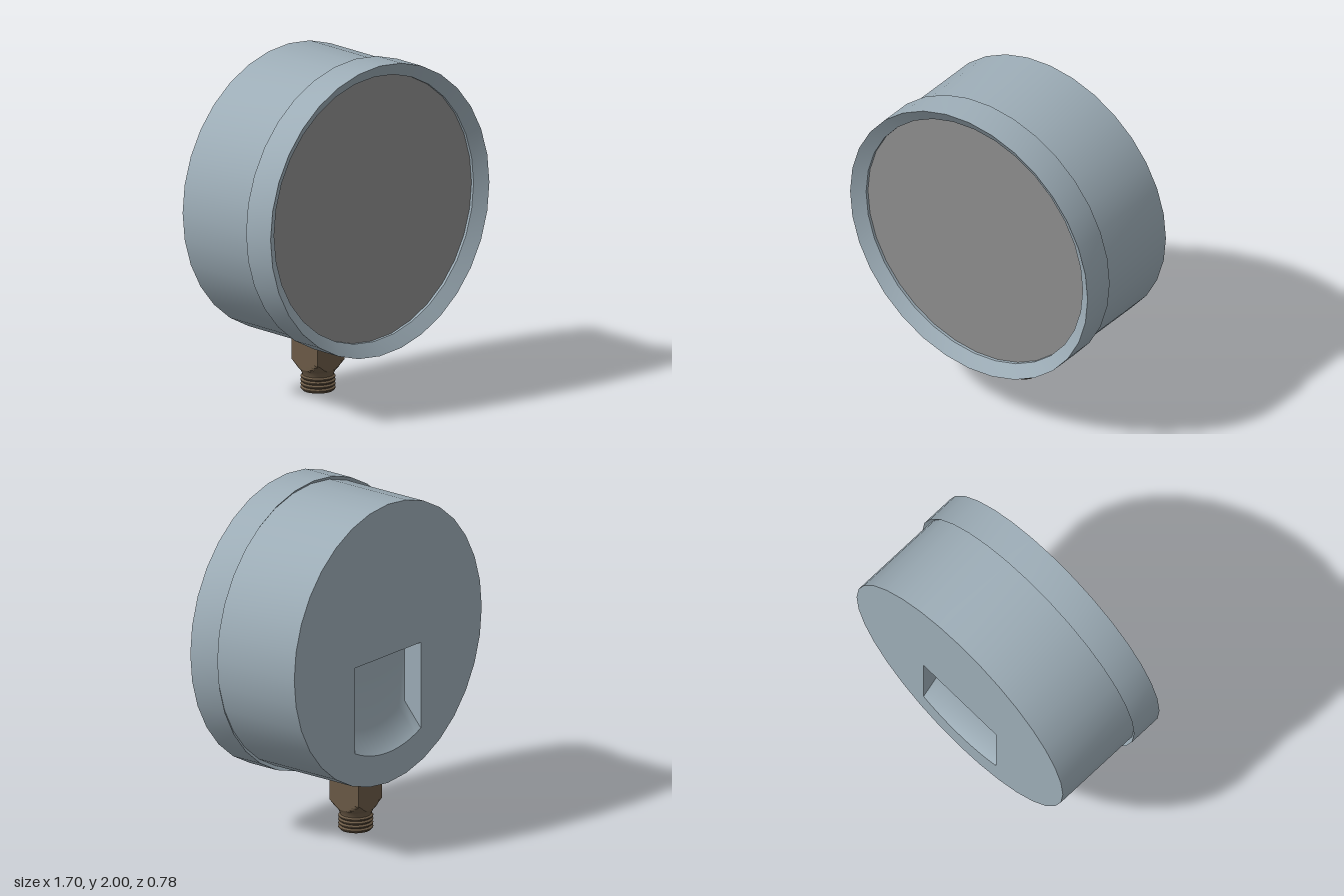
import * as THREE from 'three';
import { toCreasedNormals } from 'three/addons/utils/BufferGeometryUtils.js';

const CY = 1.15;      // height of the case axis
const R = 0.828;      // case radius
const SEG = 32;
const BACK = -0.39, FLOOR = -0.27;

const mat = (name, color, side = THREE.FrontSide) => {
  const m = new THREE.MeshStandardMaterial({ color, side });
  m.name = name;
  return m;
};

const lathe = (pts, seg = SEG) =>
  new THREE.LatheGeometry(pts.map(([r, y]) => new THREE.Vector2(r, y)), seg);

// Turned part whose axis runs along z through the case centre
const turnedZ = (pts) => toCreasedNormals(lathe(pts).rotateX(Math.PI / 2), 0.5).translate(0, CY, 0);

// Surface lofted through rows of equal length
function loft(rows) {
  const n = rows[0].length, idx = [];
  for (let j = 0; j < rows.length - 1; j++)
    for (let i = 0; i < n - 1; i++) {
      const a = j * n + i, b = a + n;
      idx.push(a, b, a + 1, a + 1, b, b + 1);
    }
  const g = new THREE.BufferGeometry();
  g.setAttribute('position', new THREE.Float32BufferAttribute(rows.flat(2), 3));
  g.setIndex(idx);
  g.computeVertexNormals();
  return g;
}

export function createModel() {
  const steel = mat('blue grey steel', 0x9dadb7, THREE.DoubleSide);
  const grey = mat('grey glass', 0x8e8e8e);
  const brass = mat('dark brass', 0x6b5a46);

  const group = new THREE.Group();
  group.name = 'pressureGauge';
  const add = (name, geo, material, parent = group) => {
    const m = new THREE.Mesh(geo, material);
    m.name = name;
    parent.add(m);
    return m;
  };

  // Case wall and front bezel with an undercut at the rear and an inner bevel
  add('caseWall', turnedZ([[R, BACK], [R, 0.18]]), steel);
  add('bezel', turnedZ([[R, 0.17], [0.85, 0.15], [0.85, 0.35], [0.775, 0.3], [0.775, 0.28]]), steel);

  // Shallow conical window, shaded as one even face
  const glass = turnedZ([[0.775, 0.283], [0, 0.39]]);
  const nrm = glass.attributes.normal;
  for (let i = 0; i < nrm.count; i++) nrm.setXYZ(i, 0, 0, 1);
  add('window', glass, grey);

  // Pocket outline: straight top and sides, arc at the bottom
  const HW = 0.29, TOP = 1.08, N = 12;
  const arcRow = (r, z) => Array.from({ length: N + 1 }, (_, i) => {
    const x = -HW + (2 * HW * i) / N;
    return [x, CY - Math.sqrt(r * r - x * x), z];
  });
  const outer = arcRow(0.648, BACK), inner = arcRow(0.527, FLOOR);
  const topRow = inner.map(([x]) => [x, TOP, FLOOR]);

  // Back plate with the pocket cut out
  const plate = new THREE.Shape();
  for (let i = 0; i < SEG; i++) {
    const a = (i / SEG) * Math.PI * 2;
    plate[i ? 'lineTo' : 'moveTo'](R * Math.cos(a), CY + R * Math.sin(a));
  }
  const hole = new THREE.Path([
    new THREE.Vector2(HW, TOP), new THREE.Vector2(-HW, TOP),
    ...outer.map(([x, y]) => new THREE.Vector2(x, y)),
  ]);
  plate.holes.push(hole);
  add('backPlate', new THREE.ShapeGeometry(plate).rotateY(Math.PI).translate(0, 0, BACK), steel);

  // Pocket floor with its sloping lower end, then the walls
  const pocket = new THREE.Group();
  pocket.name = 'backPocket';
  group.add(pocket);
  add('pocketFloor', loft([outer, inner, topRow]), steel, pocket);
  add('pocketTop', loft([
    [[-HW, TOP, BACK], [HW, TOP, BACK]],
    [[-HW, TOP, FLOOR], [HW, TOP, FLOOR]],
  ]), steel, pocket);
  for (const s of [-1, 1])
    add('pocketSide', loft([
      [[s * HW, TOP, BACK], [s * HW, TOP, FLOOR]],
      [[s * HW, outer[0][1], BACK], [s * HW, inner[0][1], FLOOR]],
    ]), steel, pocket);

  // Connection stem below the case
  const stem = new THREE.Group();
  stem.name = 'stem';
  stem.position.z = -0.155;
  group.add(stem);

  // Square wrench block, its lower corners rounded off by a cone
  const H = 0.105;
  const block = lathe([[0.1, 0.12], [0.11, 0.131], [0.12, 0.142], [0.135, 0.16], [0.15, 0.178], [0.15, 0.37]], 40);
  const p = block.attributes.position;
  for (let i = 0; i < p.count; i++) {
    const x = p.getX(i), z = p.getZ(i);
    const k = Math.min(1, H / Math.max(Math.abs(x), Math.abs(z)));
    p.setXYZ(i, x * k, p.getY(i), z * k);
  }
  add('wrenchBlock', toCreasedNormals(block, 0.4), brass, stem);

  // Threaded end with ridges
  const thread = [[0.065, 0], [0.088, 0]];
  for (let i = 0; i < 4; i++) {
    const y = 0.008 + i * 0.022;
    thread.push([0.099, y + 0.004], [0.099, y + 0.009], [0.088, y + 0.017]);
  }
  thread.push([0.09, 0.1], [0.1, 0.121]);
  add('thread', toCreasedNormals(lathe(thread, 24), 0.4), brass, stem);
  add('inletFace', new THREE.CircleGeometry(0.066, 24).rotateX(Math.PI / 2).translate(0, 0.001, 0), grey, stem);

  return group;
}
